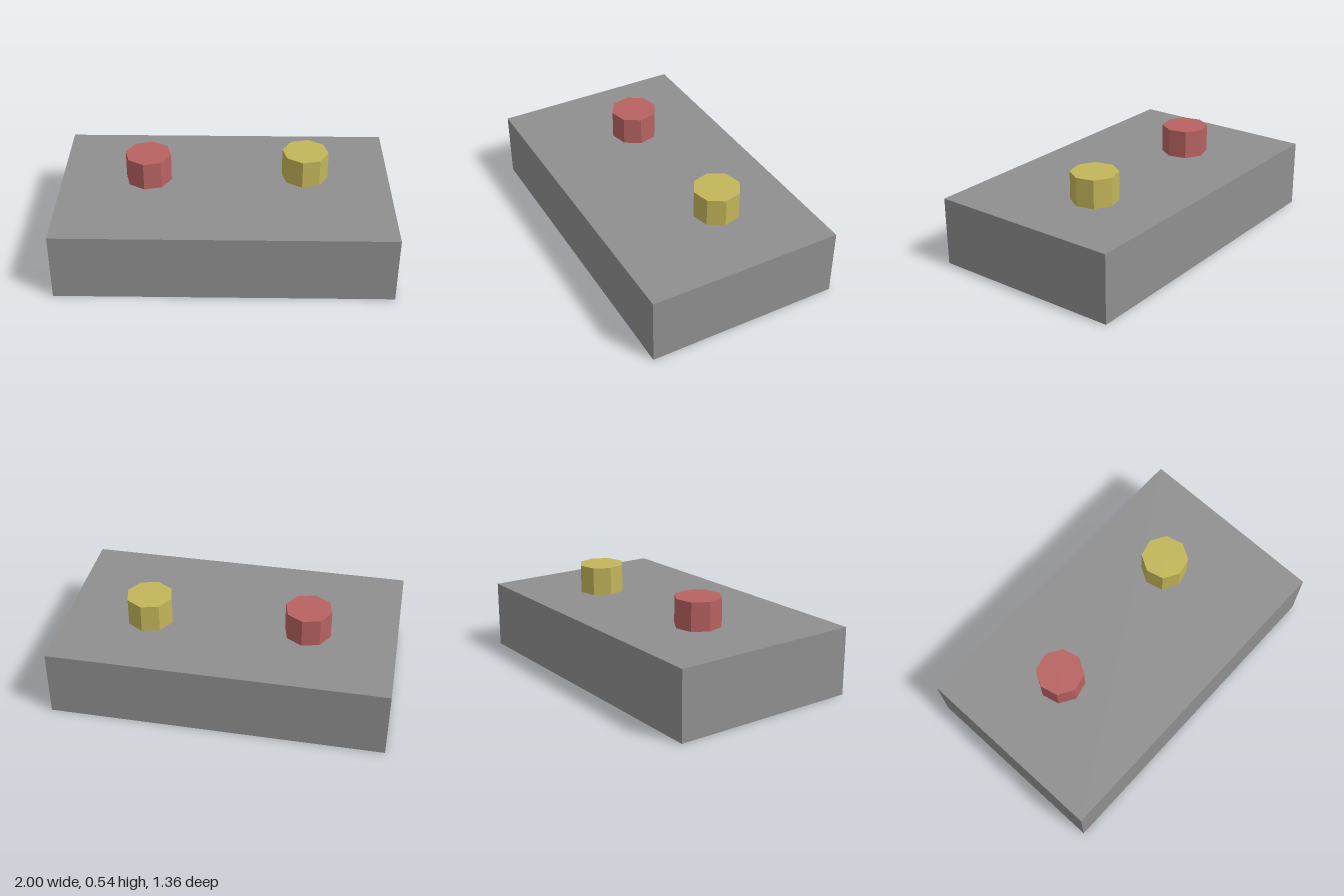
import * as THREE from 'three';

const grey = new THREE.MeshStandardMaterial({ name: 'slab grey', color: 0x8f8f90, flatShading: true });
const red = new THREE.MeshStandardMaterial({ name: 'peg red', color: 0xb86361, flatShading: true });
const yellow = new THREE.MeshStandardMaterial({ name: 'peg yellow', color: 0xc3b559, flatShading: true });

const SLAB_HEIGHT = 0.383;
const PEG_HEIGHT = 0.16;

// Eight-sided peg standing on the slab, with corners on the x and z axes
function makePeg(name, material, x, z) {
  const peg = new THREE.Mesh(new THREE.CylinderGeometry(0.131, 0.131, PEG_HEIGHT, 8), material);
  peg.name = name;
  peg.position.set(x, SLAB_HEIGHT + PEG_HEIGHT / 2, z);
  return peg;
}

export function createModel() {
  const model = new THREE.Group();
  model.name = 'slabWithPegs';

  // Slab, turned slightly about the vertical axis
  const slab = new THREE.Mesh(new THREE.BoxGeometry(1.858, SLAB_HEIGHT, 1.09), grey);
  slab.name = 'slab';
  slab.position.y = SLAB_HEIGHT / 2;
  slab.rotation.y = 0.15;

  // Pegs
  model.add(
    slab,
    makePeg('redPeg', red, -0.44, 0),
    makePeg('yellowPeg', yellow, 0.433, -0.165),
  );
  return model;
}
